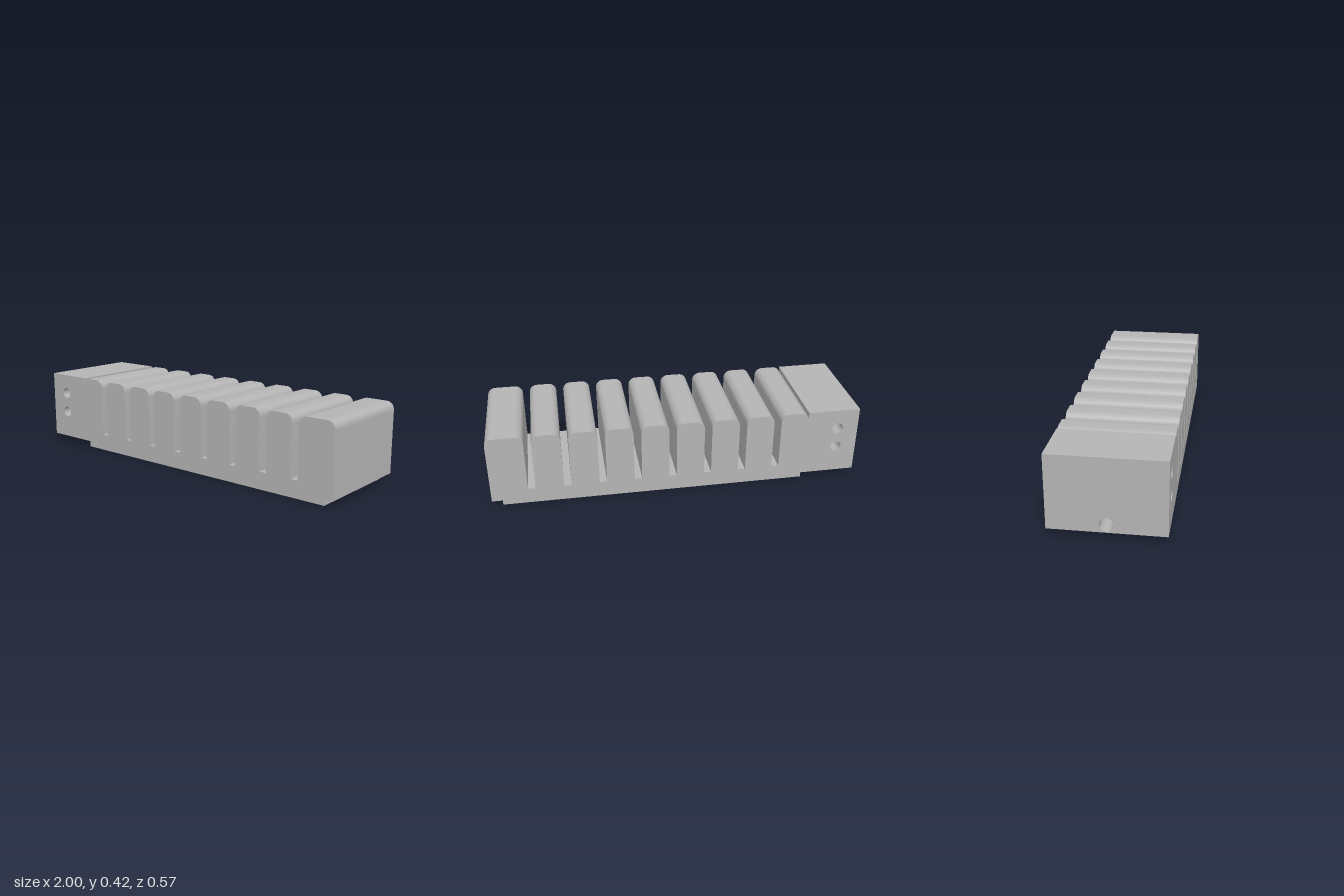
import * as THREE from 'three';
import { toCreasedNormals } from 'three/addons/utils/BufferGeometryUtils.js';

const BASE = 0.04, TOP = 0.42, SLOT = 0.1, R = 0.042;
const HALF_Z = 0.286, IN_Z = 0.248, WALL = 0.02;
const CAV_L = -0.69, CAV_R = 0.925;

// start and end of each fin along x
const fins = Array.from({ length: 9 }, (_, i) => {
  const a = -0.715 + i * 0.19;
  return [a, i === 8 ? 1 : a + 0.15];
});

// upper outline: plain end block, then round-shouldered fins parted by slots
function traceTop(s, startY) {
  s.moveTo(-1, startY);
  s.lineTo(-1, TOP);
  s.lineTo(fins[0][0], TOP);
  fins.forEach(([a, b], i) => {
    if (i > 0) s.lineTo(a, SLOT);
    s.lineTo(a, TOP - R);
    s.absarc(a + R, TOP - R, R, Math.PI, Math.PI / 2, true);
    s.absarc(b - R, TOP - R, R, Math.PI / 2, 0, true);
    s.lineTo(b, i < 8 ? SLOT : BASE);
  });
}

// two bolt holes across the end block
function addBoltHoles(s) {
  for (const y of [0.195, 0.31]) {
    s.holes.push(new THREE.Path().absarc(-0.885, y, 0.03, 0, Math.PI * 2, false));
  }
}

// full profile for the front and back walls
function wallShape() {
  const s = new THREE.Shape();
  traceTop(s, BASE);
  s.lineTo(-1, BASE);
  addBoltHoles(s);
  return s;
}

// hollow profile: cavities rise into the fins, dividers hang down to ribY
function shellShape(ribY) {
  const s = new THREE.Shape();
  traceTop(s, 0.12);
  for (let i = 8; i >= 0; i--) {
    const l = i === 0 ? CAV_L : fins[i][0] - 0 + WALL;
    const r = i === 8 ? CAV_R : fins[i][1] - WALL;
    s.lineTo(r, i === 8 ? BASE : ribY);
    s.lineTo(r, TOP - 0.045);
    s.lineTo(l, TOP - 0.045);
    s.lineTo(l, i === 0 ? 0.12 : ribY);
  }
  addBoltHoles(s);
  return s;
}

function rect(x0, y0, x1, y1, P = THREE.Shape) {
  const p = new P();
  p.moveTo(x0, y0);
  p.lineTo(x1, y0);
  p.lineTo(x1, y1);
  p.lineTo(x0, y1);
  p.closePath();
  return p;
}

const extrude = (shape, depth) =>
  new THREE.ExtrudeGeometry(shape, { depth, bevelEnabled: false, curveSegments: 12 });

export function createModel() {
  const group = new THREE.Group();
  const grey = new THREE.MeshStandardMaterial({ color: 0xb4b4b4 });
  grey.name = 'plain grey';

  const add = (name, geo) => {
    const mesh = new THREE.Mesh(toCreasedNormals(geo, 0.5), grey);
    mesh.name = name;
    group.add(mesh);
  };
  const slice = (name, shape, z0, z1) => add(name, extrude(shape, z1 - z0).translate(0, 0, z0));

  // outer walls
  slice('frontWall', wallShape(), IN_Z, HALF_Z);
  slice('backWall', wallShape(), -HALF_Z, -IN_Z);

  // finned shell: low dividers at the sides, raised along the middle channel
  slice('frontFinShell', shellShape(0.045), 0.07, IN_Z);
  slice('middleFinShell', shellShape(0.08), -0.07, 0.07);
  slice('backFinShell', shellShape(0.045), -IN_Z, -0.07);

  // lower end block with the lengthwise bore into the cavity
  const block = rect(-IN_Z, BASE, IN_Z, 0.12);
  block.holes.push(new THREE.Path().absarc(0, 0.08, 0.035, 0, Math.PI * 2, true));
  add('boredEndBlock', extrude(block, CAV_L + 1).rotateY(Math.PI / 2).translate(-1, 0, 0));

  // thin rim around the open underside
  const rim = rect(-0.705, -0.268, 0.945, 0.268);
  rim.holes.push(rect(CAV_L, -IN_Z, CAV_R, IN_Z, THREE.Path));
  add('bottomRim', extrude(rim, BASE).rotateX(-Math.PI / 2));

  return group;
}
